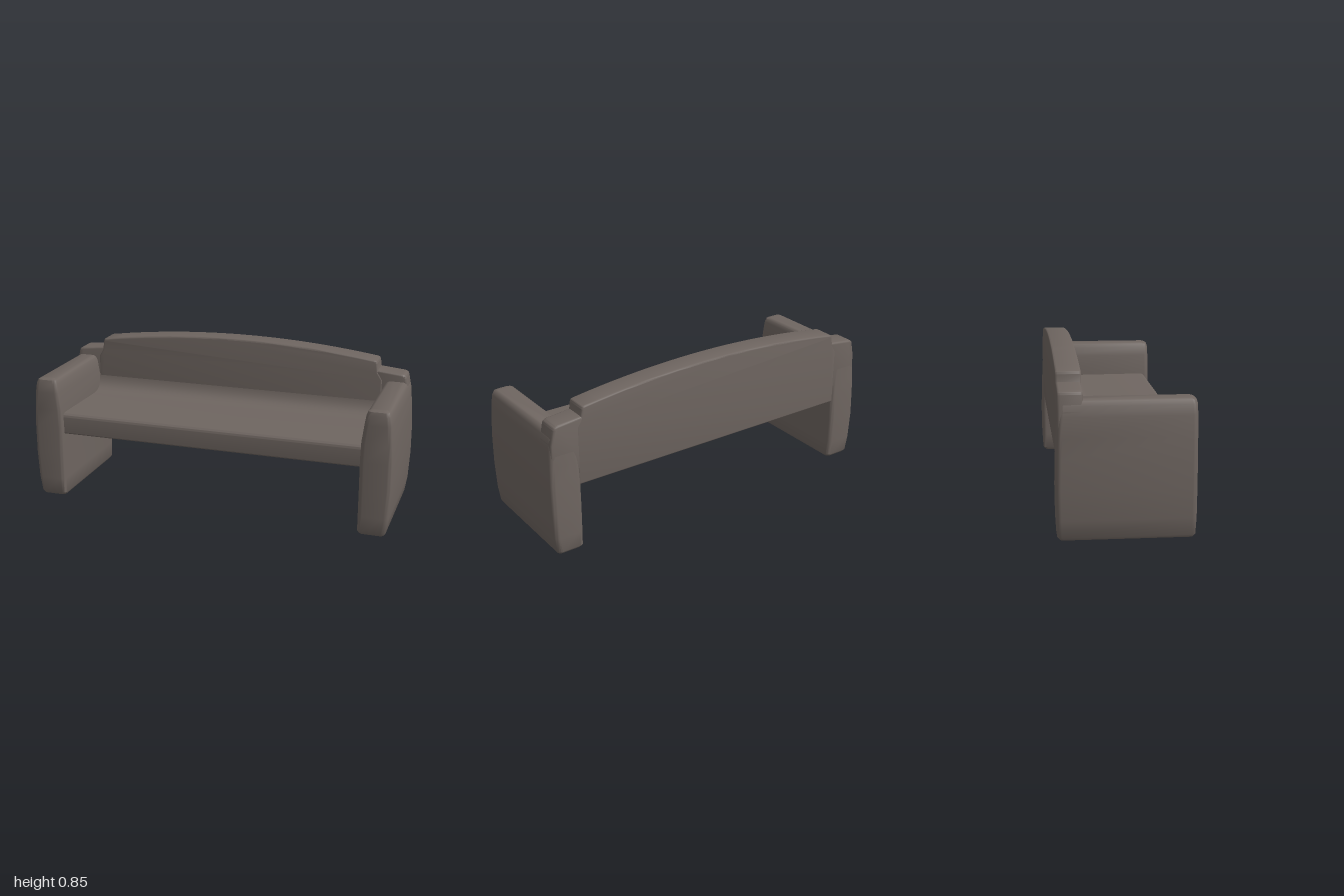
import * as THREE from 'three';
import { toCreasedNormals } from 'three/addons/utils/BufferGeometryUtils.js';

const CREASE = 0.7;

// Lofts rounded-rectangle sections [y, x0, x1, z0, z1, cornerRadius], capped at both ends.
function loft(sections, side) {
  const pos = [], idx = [], steps = 5, n = 4 * (steps + 1);
  for (const [y, a, b, z0, z1, r] of sections) {
    const x0 = side > 0 ? a : -b, x1 = side > 0 ? b : -a;
    const corners = [[x1 - r, z1 - r], [x0 + r, z1 - r], [x0 + r, z0 + r], [x1 - r, z0 + r]];
    corners.forEach(([cx, cz], c) => {
      for (let i = 0; i <= steps; i++) {
        const t = (c + i / steps) * Math.PI / 2;
        pos.push(cx + r * Math.cos(t), y, cz + r * Math.sin(t));
      }
    });
  }
  for (let row = 0; row < sections.length - 1; row++) {
    for (let k = 0; k < n; k++) {
      const a = row * n + k, b = row * n + (k + 1) % n;
      idx.push(a, a + n, b, b, a + n, b + n);
    }
  }
  const last = (sections.length - 1) * n;
  for (let k = 1; k < n - 1; k++) {
    idx.push(0, k, k + 1);
    idx.push(last, last + k + 1, last + k);
  }
  const g = new THREE.BufferGeometry();
  g.setAttribute('position', new THREE.Float32BufferAttribute(pos, 3));
  g.setIndex(idx);
  return toCreasedNormals(g, CREASE);
}

// Extrudes a shape from z0 to z1 with softly rounded edges.
function slab(shape, z0, z1, bevel) {
  const g = new THREE.ExtrudeGeometry(shape, {
    depth: z1 - z0 - 2 * bevel, bevelEnabled: bevel > 0, bevelThickness: bevel,
    bevelSize: bevel, bevelOffset: -bevel, bevelSegments: 3, curveSegments: 20,
  });
  g.translate(0, 0, z0 + bevel);
  return toCreasedNormals(g, CREASE);
}

export function createModel() {
  const model = new THREE.Group();
  model.name = 'bench';
  const plastic = new THREE.MeshStandardMaterial({ color: 0x6e6560 });
  plastic.name = 'warm grey';
  const add = (name, geometry) => {
    const mesh = new THREE.Mesh(geometry, plastic);
    mesh.name = name;
    model.add(mesh);
  };

  // Bulging side panels, with a shallow recess under each foot
  const arm = [
    [0.04, 0.86, 0.955, -0.29, 0.3, 0.01],
    [0.004, 0.86, 0.955, -0.29, 0.3, 0.01],
    [0, 0.84, 0.97, -0.315, 0.325, 0.02],
    [0.015, 0.83, 0.979, -0.328, 0.335, 0.022],
    [0.1, 0.83, 0.992, -0.333, 0.338, 0.025],
    [0.25, 0.83, 1.0, -0.335, 0.338, 0.025],
    [0.4, 0.829, 1.0, -0.331, 0.338, 0.025],
    [0.5, 0.832, 0.996, -0.327, 0.338, 0.025],
    [0.6, 0.845, 0.988, -0.322, 0.338, 0.025],
    [0.65, 0.853, 0.98, -0.319, 0.337, 0.025],
    [0.67, 0.862, 0.97, -0.314, 0.331, 0.022],
    [0.678, 0.878, 0.955, -0.3, 0.317, 0.02],
  ];

  for (const side of [1, -1]) {
    const label = side > 0 ? 'left' : 'right';
    add(label + 'Arm', loft(arm, side));

    // Shoulder where the arm steps up to the backrest
    const post = new THREE.Shape();
    post.moveTo(side * 0.78, 0.45);
    post.lineTo(side * 0.985, 0.45);
    post.lineTo(side * 0.985, 0.62);
    post.lineTo(side * 0.968, 0.7);
    post.quadraticCurveTo(side * 0.965, 0.718, side * 0.94, 0.721);
    post.lineTo(side * 0.78, 0.737);
    add(label + 'Shoulder', slab(post, -0.324, -0.203, 0.012));
  }

  // Arched backrest
  const back = new THREE.Shape();
  back.moveTo(-0.84, 0.365);
  back.lineTo(0.84, 0.365);
  back.lineTo(0.84, 0.68);
  back.lineTo(0.815, 0.72);
  back.lineTo(0.808, 0.77);
  back.quadraticCurveTo(0.806, 0.785, 0.79, 0.787);
  back.quadraticCurveTo(0, 0.903, -0.79, 0.787);
  back.quadraticCurveTo(-0.806, 0.785, -0.808, 0.77);
  back.lineTo(-0.815, 0.72);
  back.lineTo(-0.84, 0.68);
  add('backrest', slab(back, -0.325, -0.2, 0.01));

  // Seat, sweeping up into the backrest
  const seat = new THREE.Shape();
  seat.moveTo(-0.3, 0.363);
  seat.lineTo(0.305, 0.363);
  seat.quadraticCurveTo(0.314, 0.363, 0.314, 0.375);
  seat.lineTo(0.314, 0.455);
  seat.quadraticCurveTo(0.314, 0.483, 0.28, 0.483);
  seat.lineTo(-0.1, 0.48);
  seat.quadraticCurveTo(-0.185, 0.482, -0.202, 0.57);
  seat.lineTo(-0.3, 0.57);
  add('seat', slab(seat, -0.84, 0.84, 0).rotateY(-Math.PI / 2));

  return model;
}
